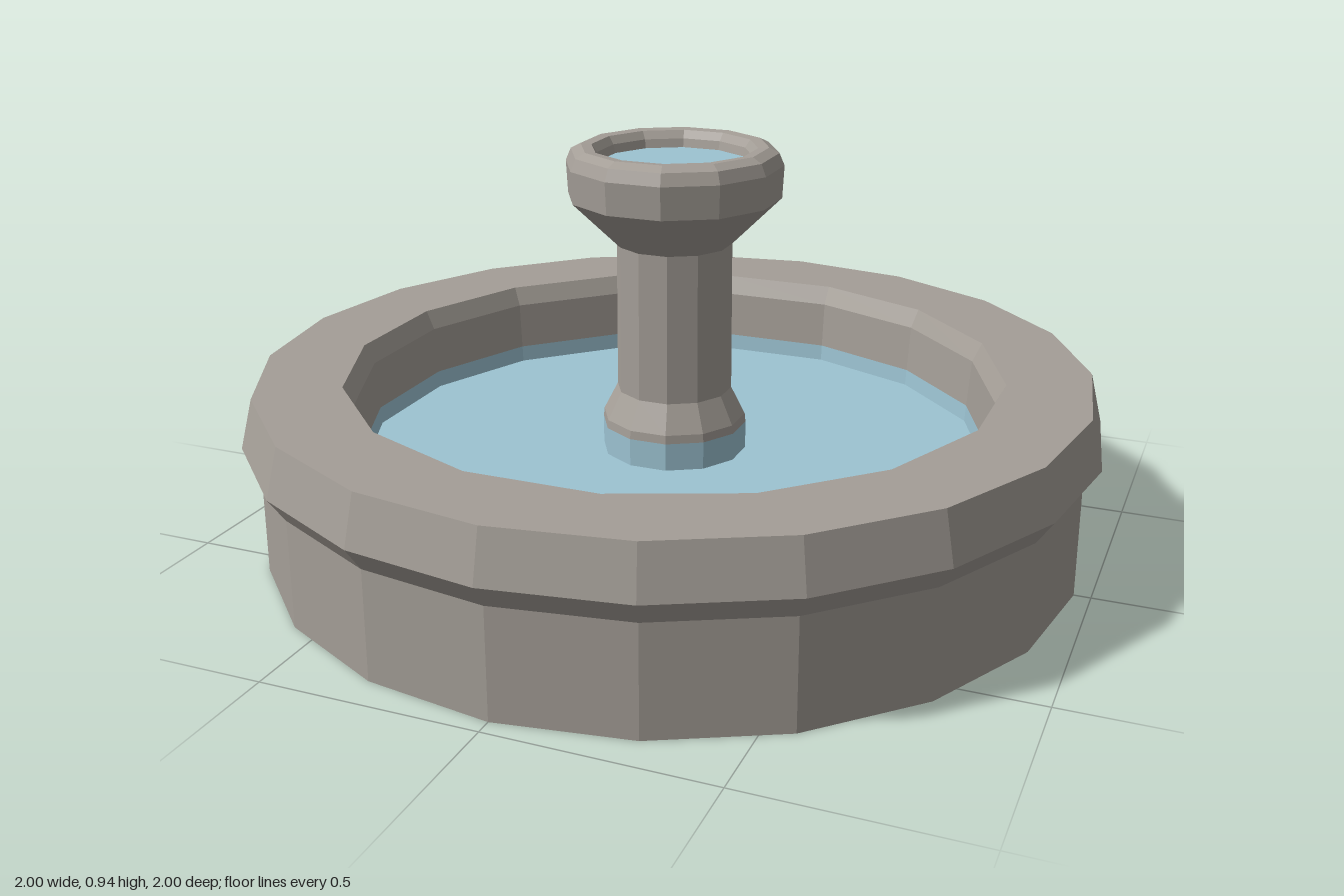
import * as THREE from 'three';

const stone = new THREE.MeshStandardMaterial({ color: 0xa49e97 });
stone.name = 'stone';
const water = new THREE.MeshStandardMaterial({ color: 0x9cc3d2 });
water.name = 'water';

const RIM_Y = 0.42;
const POOL_Y = 0.22;
const BOWL_Y = 0.905;
// Sides and starting angle of each faceted ring
const OUTER = { sides: 20, start: 0 };
const INNER = { sides: 16, start: Math.PI / 16 };
const COLUMN = { sides: 12, start: Math.PI / 12 };

// Faceted lathe from [radius, height] pairs, each face with its own normal
function ring(name, profile, { sides, start }, material) {
  const points = profile.map(([r, y]) => new THREE.Vector2(r, y));
  const geometry = new THREE.LatheGeometry(points, sides, start).toNonIndexed();
  geometry.computeVertexNormals();
  const mesh = new THREE.Mesh(geometry, material);
  mesh.name = name;
  return mesh;
}

function polygon(radius, { sides, start }) {
  return Array.from({ length: sides }, (_, i) => {
    const a = start + (i / sides) * Math.PI * 2;
    return new THREE.Vector2(radius * Math.sin(a), radius * Math.cos(a));
  });
}

// Flat horizontal surface facing up
function plate(name, shape, y, material) {
  const mesh = new THREE.Mesh(new THREE.ShapeGeometry(shape).rotateX(-Math.PI / 2), material);
  mesh.position.y = y;
  mesh.name = name;
  return mesh;
}

export function createModel() {
  const fountain = new THREE.Group();
  fountain.name = 'fountain';

  // Basin: outer shell with overhanging lip, flat rim and inner wall
  const rimShape = new THREE.Shape(polygon(0.972, OUTER));
  rimShape.holes.push(new THREE.Path(polygon(0.77, INNER)));
  const basin = new THREE.Group();
  basin.name = 'basin';
  basin.add(
    ring('basinShell', [[0, 0], [0.962, 0], [0.962, 0.25], [1, 0.305], [0.972, RIM_Y]], OUTER, stone),
    plate('basinRim', rimShape, RIM_Y, stone),
    ring('basinInnerWall', [[0.77, RIM_Y], [0.747, 0.375], [0.738, 0.26]], INNER, stone),
    ring('basinWaterline', [[0.738, 0.26], [0.735, POOL_Y]], INNER, water),
    plate('poolWater', new THREE.Shape(polygon(0.735, INNER)), POOL_Y, water)
  );

  // Column: wet foot, shaft and flared bowl
  const column = new THREE.Group();
  column.name = 'column';
  column.add(
    ring('columnWaterline', [[0.17, POOL_Y], [0.17, 0.285]], COLUMN, water),
    ring('columnAndBowl', [
      [0.17, 0.285], [0.168, 0.305], [0.135, 0.37], [0.134, 0.72], [0.246, 0.83],
      [0.25, 0.905], [0.238, 0.933], [0.215, 0.945], [0.19, 0.943], [0.177, 0.925], [0.172, BOWL_Y]
    ], COLUMN, stone),
    plate('bowlWater', new THREE.Shape(polygon(0.173, COLUMN)), BOWL_Y, water)
  );

  fountain.add(basin, column);
  return fountain;
}
